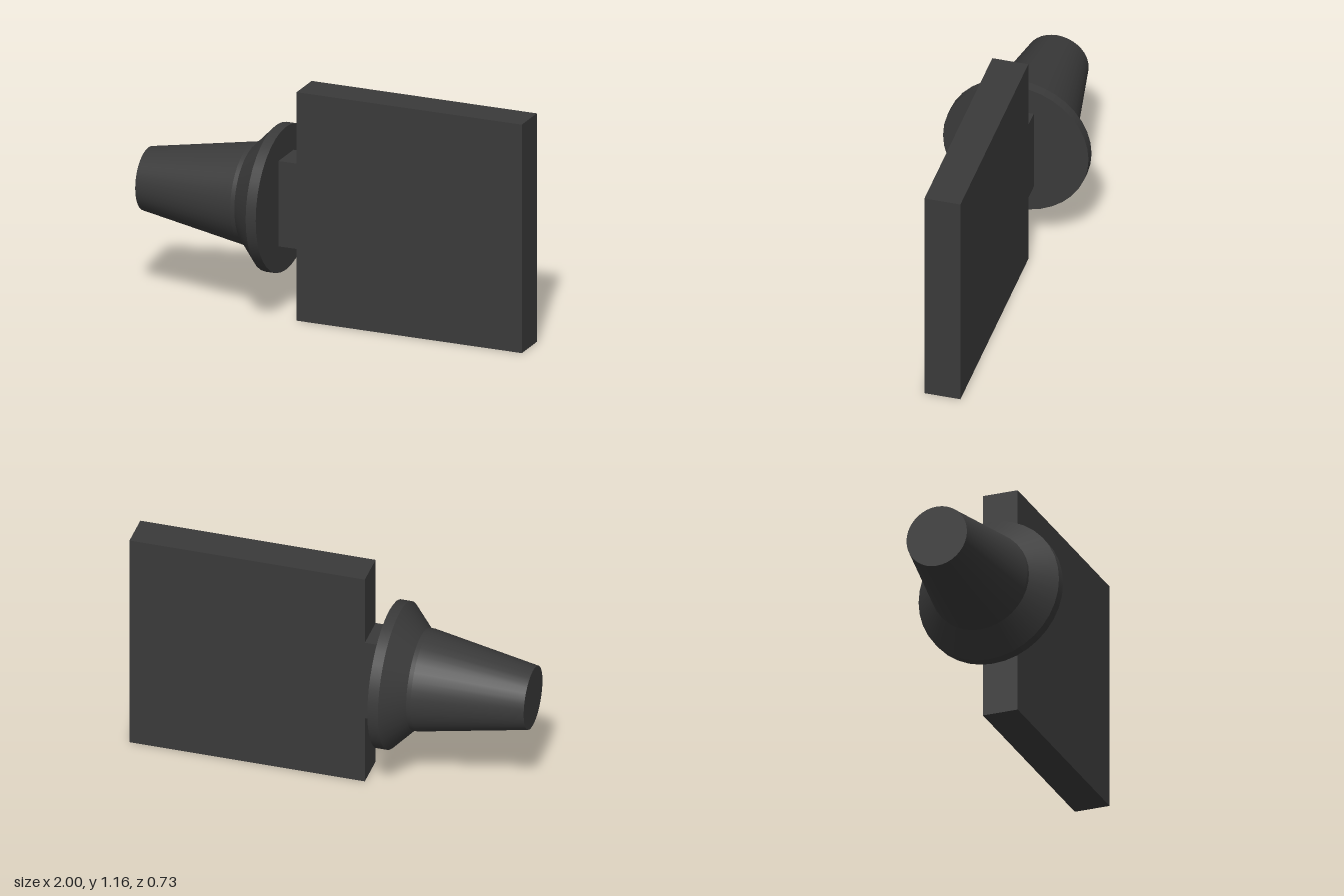
import * as THREE from 'three';

const AXIS_Y = 0.582;
const SIDES = 36;

export function createModel() {
  const model = new THREE.Group();
  const material = new THREE.MeshStandardMaterial({ color: 0x3a3a3a });

  const add = (parent, name, geometry) => {
    const mesh = new THREE.Mesh(geometry, material);
    mesh.name = name;
    parent.add(mesh);
    return mesh;
  };

  // Flat plate and the narrower neck joining it to the flange
  const slab = (name, x0, x1, y0, y1, depth) =>
    add(model, name, new THREE.BoxGeometry(x1 - x0, y1 - y0, depth))
      .position.set((x0 + x1) / 2, (y0 + y1) / 2, 0);
  slab('plate', -0.182, 1, 0, 1.164, 0.18);
  slab('neck', -0.277, -0.182, 0.365, 0.8, 0.18);

  // Turned shank along x: [name, start x, end x, start radius, end radius]
  const shank = new THREE.Group();
  shank.name = 'shank';
  shank.position.y = AXIS_Y;
  const sections = [
    ['taper', -1, -0.46, 0.157, 0.252],
    ['collar', -0.46, -0.438, 0.252, 0.252],
    ['flangeBevel', -0.438, -0.33, 0.252, 0.364],
    ['flangeRim', -0.33, -0.277, 0.364, 0.364],
  ];
  for (const [name, x0, x1, r0, r1] of sections) {
    const geometry = new THREE.CylinderGeometry(r1, r0, x1 - x0, SIDES, 1, true);
    geometry.rotateZ(-Math.PI / 2);
    add(shank, name, geometry).position.x = (x0 + x1) / 2;
  }

  // End faces of the shank, facing -x and +x
  for (const [name, x, radius, side] of [
    ['tipFace', -1, 0.157, -1],
    ['flangeFace', -0.277, 0.364, 1],
  ]) {
    const geometry = new THREE.CircleGeometry(radius, SIDES);
    geometry.rotateY(side * Math.PI / 2);
    add(shank, name, geometry).position.x = x;
  }
  model.add(shank);

  return model;
}
